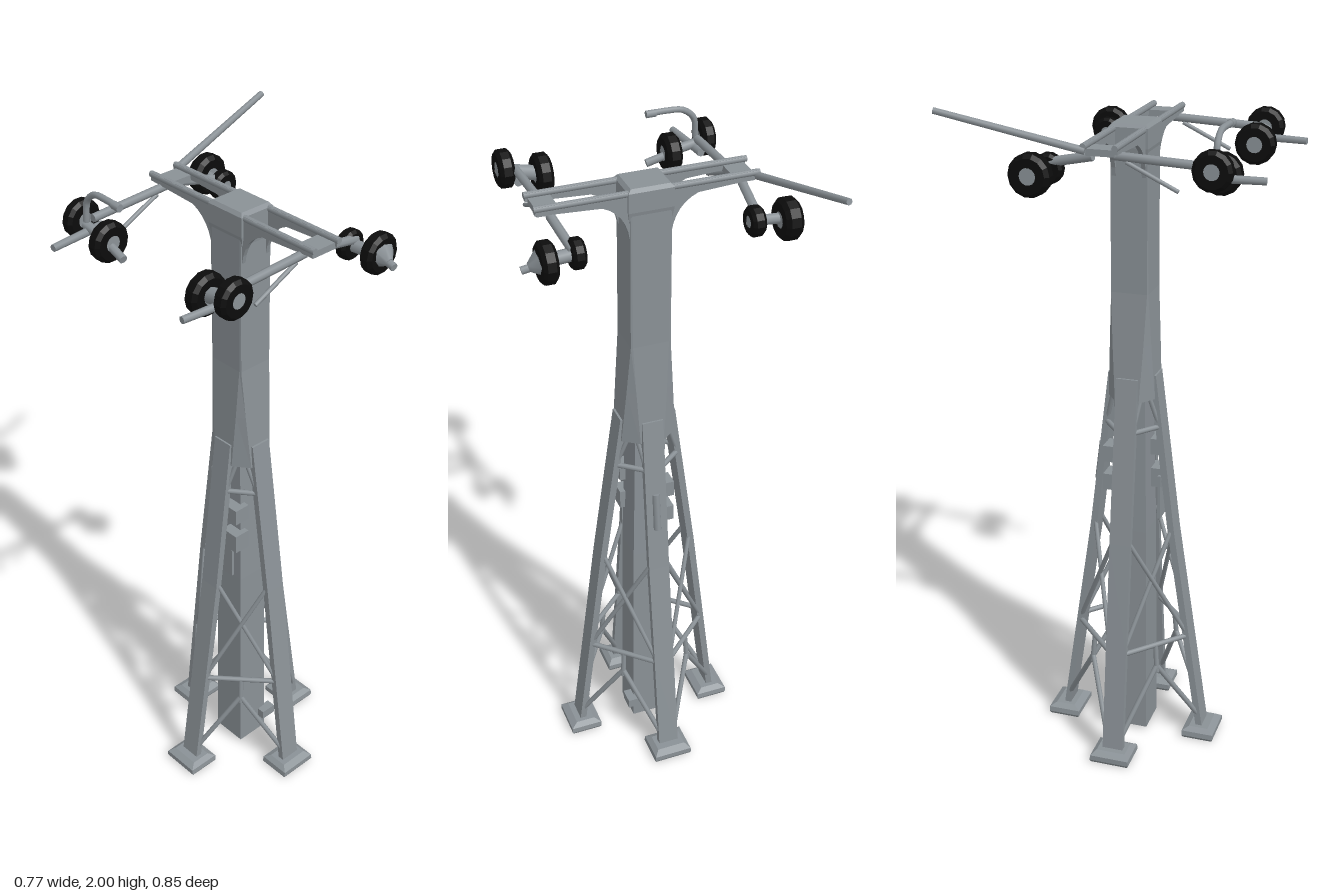
import * as THREE from 'three';

const steel = new THREE.MeshStandardMaterial({ color: 0x8a9196 });
steel.name = 'steel grey';
const rubber = new THREE.MeshStandardMaterial({ color: 0x0c0c0c });
rubber.name = 'black rubber';

const V = (x, y, z) => new THREE.Vector3(x, y, z);

function add(parent, name, geometry, material = steel) {
  const mesh = new THREE.Mesh(geometry, material);
  mesh.name = name;
  parent.add(mesh);
  return mesh;
}

function box(parent, name, w, h, d, x, y, z) {
  const m = add(parent, name, new THREE.BoxGeometry(w, h, d));
  m.position.set(x, y, z);
  return m;
}

// Round bar between two points
function bar(parent, name, a, b, r = 0.007, r2 = r) {
  const m = add(parent, name, new THREE.CylinderGeometry(r2, r, a.distanceTo(b), 8));
  m.position.copy(a).add(b).multiplyScalar(0.5);
  m.quaternion.setFromUnitVectors(V(0, 1, 0), b.clone().sub(a).normalize());
  return m;
}

// Closed, flat-sided solid through stacked loops (loops run from +x towards +z)
function loft(loops) {
  const pos = [];
  const tri = (...pts) => pts.forEach((p) => pos.push(p.x, p.y, p.z));
  const n = loops[0].length;
  for (let k = 0; k < loops.length - 1; k++) {
    const a = loops[k], b = loops[k + 1];
    for (let i = 0; i < n; i++) {
      const j = (i + 1) % n;
      tri(a[i], b[i], b[j]);
      tri(a[i], b[j], a[j]);
    }
  }
  const lo = loops[0], hi = loops[loops.length - 1];
  for (let i = 1; i < n - 1; i++) {
    tri(lo[0], lo[i], lo[i + 1]);
    tri(hi[0], hi[i + 1], hi[i]);
  }
  const g = new THREE.BufferGeometry();
  g.setAttribute('position', new THREE.Float32BufferAttribute(pos, 3));
  g.computeVertexNormals();
  return g;
}

const rect = (w, d, y, x = 0, z = 0) =>
  [[1, -1], [1, 1], [-1, 1], [-1, -1]].map(([i, j]) => V(x + i * w, y, z + j * d));

// Eight-cornered section: leg faces at rx / rz, each 2w wide
const octagon = (rx, rz, w, y) =>
  [[rx, -w], [rx, w], [w, rz], [-w, rz], [-rx, w], [-rx, -w], [-w, -rz], [w, -rz]]
    .map(([x, z]) => V(x, y, z));

// Distance of a leg from the tower axis at a height
const legProfile = {
  x: [[0.03, 0.225], [0.7, 0.143], [1.2, 0.074]],
  z: [[0.03, 0.22], [0.7, 0.122], [1.2, 0.062]],
};
function reach(axis, y) {
  const p = legProfile[axis];
  const k = y < p[1][0] ? 0 : 1;
  const t = (y - p[k][0]) / (p[k + 1][0] - p[k][0]);
  return p[k][1] + t * (p[k + 1][1] - p[k][1]);
}

function buildTower() {
  const tower = new THREE.Group();
  tower.name = 'tower';

  // Central column and solid upper shaft
  add(tower, 'coreColumn', loft([rect(0.056, 0.054, 0.01), rect(0.052, 0.05, 0.7), rect(0.042, 0.042, 1.2)]));
  add(tower, 'upperShaft', loft([
    octagon(0.083, 0.07, 0.036, 1.13), octagon(0.07, 0.062, 0.046, 1.3),
    octagon(0.059, 0.055, 0.053, 1.45), octagon(0.058, 0.054, 0.053, 1.86),
  ]));

  // Four flat legs on splayed feet
  for (const axis of ['x', 'z']) for (const s of [-1, 1]) {
    const onX = axis === 'x';
    const leg = [0.03, 0.35, 0.7, 1.2].map((y) => {
      const r = s * reach(axis, y), w = 0.032, t = 0.01;
      return onX ? rect(t, w, y, r, 0) : rect(w, t, y, 0, r);
    });
    add(tower, 'leg', loft(leg));
    const f = s * 0.222;
    const foot = [[0.046, 0.058, 0], [0.05, 0.062, 0.008], [0.05, 0.06, 0.024], [0.03, 0.045, 0.036]]
      .map(([a, b, y]) => (onX ? rect(a, b, y, f, 0) : rect(b, a, y, 0, f)));
    add(tower, 'foot', loft(foot));
  }

  // Lattice bracing in each of the four bays
  for (const sx of [-1, 1]) for (const sz of [-1, 1]) {
    const onX = (y) => V(sx * reach('x', y), y, sz * 0.022);
    const onZ = (y) => V(sx * 0.022, y, sz * reach('z', y));
    const mid = (y) => onX(y).add(onZ(y)).multiplyScalar(0.5);
    for (const y of [0.35, 1.04]) bar(tower, 'horizontalBrace', onX(y), onZ(y), 0.008);
    bar(tower, 'lowerBrace', onX(0.07), mid(0.28), 0.008);
    bar(tower, 'lowerBrace', onZ(0.07), mid(0.28), 0.008);
    bar(tower, 'braceHanger', mid(0.26), mid(0.35), 0.008);
    bar(tower, 'crossBrace', onX(0.36), onZ(0.71), 0.007);
    bar(tower, 'crossBrace', onZ(0.36), onX(0.71), 0.007);
    bar(tower, 'upperBrace', onX(1.04), mid(1.18), 0.007);
    bar(tower, 'upperBrace', onZ(1.04), mid(1.18), 0.007);
  }

  // Equipment boxes clamped to the column
  for (const [x, y, z, h] of [[0.035, 0.96, 0.055, 0.05], [0.035, 0.86, 0.055, 0.06],
    [-0.035, 0.95, -0.055, 0.05], [-0.035, 0.86, -0.055, 0.05]]) {
    box(tower, 'equipmentBox', 0.06, h, 0.05, x, y, z);
  }
  box(tower, 'servicePanel', 0.05, 0.14, 0.009, 0.02, 0.8, 0.075);
  bar(tower, 'cableDuct', V(0, 0.84, -0.115), V(0, 0.96, -0.1), 0.012);
  for (const sx of [-1, 1]) box(tower, 'baseBox', 0.03, 0.03, 0.05, sx * 0.065, 0.085, -0.05);

  tower.position.x = -0.007;
  return tower;
}

function buildCrossbeam() {
  const beam = new THREE.Group();
  beam.name = 'crossbeam';
  // Central head
  add(beam, 'head', loft([rect(0.06, 0.05, 1.83, -0.007), rect(0.064, 0.056, 1.86, -0.007),
    rect(0.064, 0.056, 1.915, -0.007), rect(0.055, 0.048, 1.925, -0.007)]));

  // Twin side plates with curved gussets, topped by rails
  const s = new THREE.Shape();
  s.moveTo(-0.31, 1.918);
  s.lineTo(-0.31, 1.895);
  s.lineTo(-0.14, 1.885);
  s.quadraticCurveTo(-0.075, 1.86, -0.065, 1.78);
  s.lineTo(0.051, 1.78);
  s.quadraticCurveTo(0.061, 1.86, 0.126, 1.885);
  s.lineTo(0.305, 1.895);
  s.lineTo(0.305, 1.918);
  const plate = new THREE.ExtrudeGeometry(s, { depth: 0.012, bevelEnabled: false, curveSegments: 6 });
  for (const z of [-0.043, 0.043]) {
    add(beam, 'beamPlate', plate).position.z = z - 0.006;
    bar(beam, 'beamRail', V(-0.315, 1.911, z), V(0.308, 1.911, z), 0.009);
  }
  for (const x of [-0.275, 0.268]) box(beam, 'endPlate', 0.06, 0.018, 0.08, x, 1.896, 0);
  return beam;
}

// Chunky tyre turned about the x axis
function wheel(parent, x, y, z, r, width) {
  const h = width / 2;
  const profile = [[0.4 * r, -h], [0.82 * r, -h], [r, -h * 0.55], [r, h * 0.55], [0.82 * r, h], [0.4 * r, h], [0.4 * r, -h]]
    .map(([a, b]) => new THREE.Vector2(a, b));
  const g = new THREE.Group();
  g.name = 'wheel';
  const tyre = new THREE.LatheGeometry(profile, 14).toNonIndexed();
  tyre.computeVertexNormals();
  add(g, 'tyre', tyre, rubber);
  add(g, 'hub', new THREE.CylinderGeometry(0.42 * r, 0.42 * r, width * 0.9, 10));
  g.rotation.z = -Math.PI / 2;
  g.position.set(x, y, z);
  parent.add(g);
}

function buildArms() {
  const arms = new THREE.Group();
  arms.name = 'wheelArms';

  // Forward and rear arms on both ends of the beam
  for (const [x, xTip] of [[-0.273, -0.256], [0.26, 0.245]]) {
    bar(arms, 'frontArm', V(x, 1.885, 0.03), V(x, 1.873, 0.28), 0.012);
    bar(arms, 'frontSpindle', V(x, 1.845, 0.25), V(xTip, 1.843, 0.425), 0.012, 0.01);
    bar(arms, 'armStay', V(x, 1.87, 0.06), V(x, 1.803, 0.2), 0.006);
    const xr = x < 0 ? x + 0.015 : x - 0.013;
    bar(arms, 'rearArm', V(x, 1.88, -0.03), V(xr, 1.85, -0.17), 0.013);
  }

  // Front wheels and axles
  wheel(arms, -0.3, 1.87, 0.297, 0.054, 0.038);
  wheel(arms, -0.195, 1.84, 0.293, 0.056, 0.044);
  wheel(arms, 0.182, 1.84, 0.293, 0.058, 0.044);
  wheel(arms, 0.287, 1.87, 0.297, 0.054, 0.042);
  bar(arms, 'frontAxle', V(-0.3, 1.86, 0.297), V(-0.195, 1.84, 0.295), 0.014);
  bar(arms, 'frontAxle', V(0.182, 1.84, 0.295), V(0.287, 1.862, 0.297), 0.022);
  bar(arms, 'axleStub', V(-0.195, 1.835, 0.295), V(-0.127, 1.815, 0.3), 0.012);

  // Rear wheels and axles
  wheel(arms, -0.338, 1.835, -0.178, 0.058, 0.05);
  wheel(arms, -0.253, 1.835, -0.16, 0.042, 0.038);
  wheel(arms, 0.235, 1.835, -0.16, 0.042, 0.036);
  wheel(arms, 0.32, 1.835, -0.178, 0.057, 0.042);
  bar(arms, 'rearAxle', V(-0.338, 1.835, -0.17), V(-0.253, 1.835, -0.16), 0.015);
  bar(arms, 'rearAxle', V(0.235, 1.835, -0.16), V(0.32, 1.835, -0.17), 0.018);
  bar(arms, 'hubCone', V(0.335, 1.835, -0.175), V(0.364, 1.826, -0.172), 0.038, 0.012);
  bar(arms, 'axleTip', V(0.36, 1.825, -0.172), V(0.383, 1.82, -0.17), 0.011);

  // Bent handle above the right front wheels
  const handle = new THREE.CatmullRomCurve3([V(-0.275, 1.87, 0.3), V(-0.268, 1.93, 0.298),
    V(-0.235, 1.958, 0.298), V(-0.19, 1.962, 0.3), V(-0.13, 1.96, 0.302)]);
  add(arms, 'handle', new THREE.TubeGeometry(handle, 16, 0.009, 8));
  bar(arms, 'handleTip', V(-0.155, 1.96, 0.301), V(-0.127, 1.959, 0.302), 0.011);

  // Long boom rising to the rear
  bar(arms, 'boom', V(-0.308, 1.9, -0.04), V(-0.375, 1.992, -0.425), 0.011, 0.009);
  return arms;
}

export function createModel() {
  const model = new THREE.Group();
  model.name = 'latticeTower';
  model.add(buildTower(), buildCrossbeam(), buildArms());
  return model;
}
